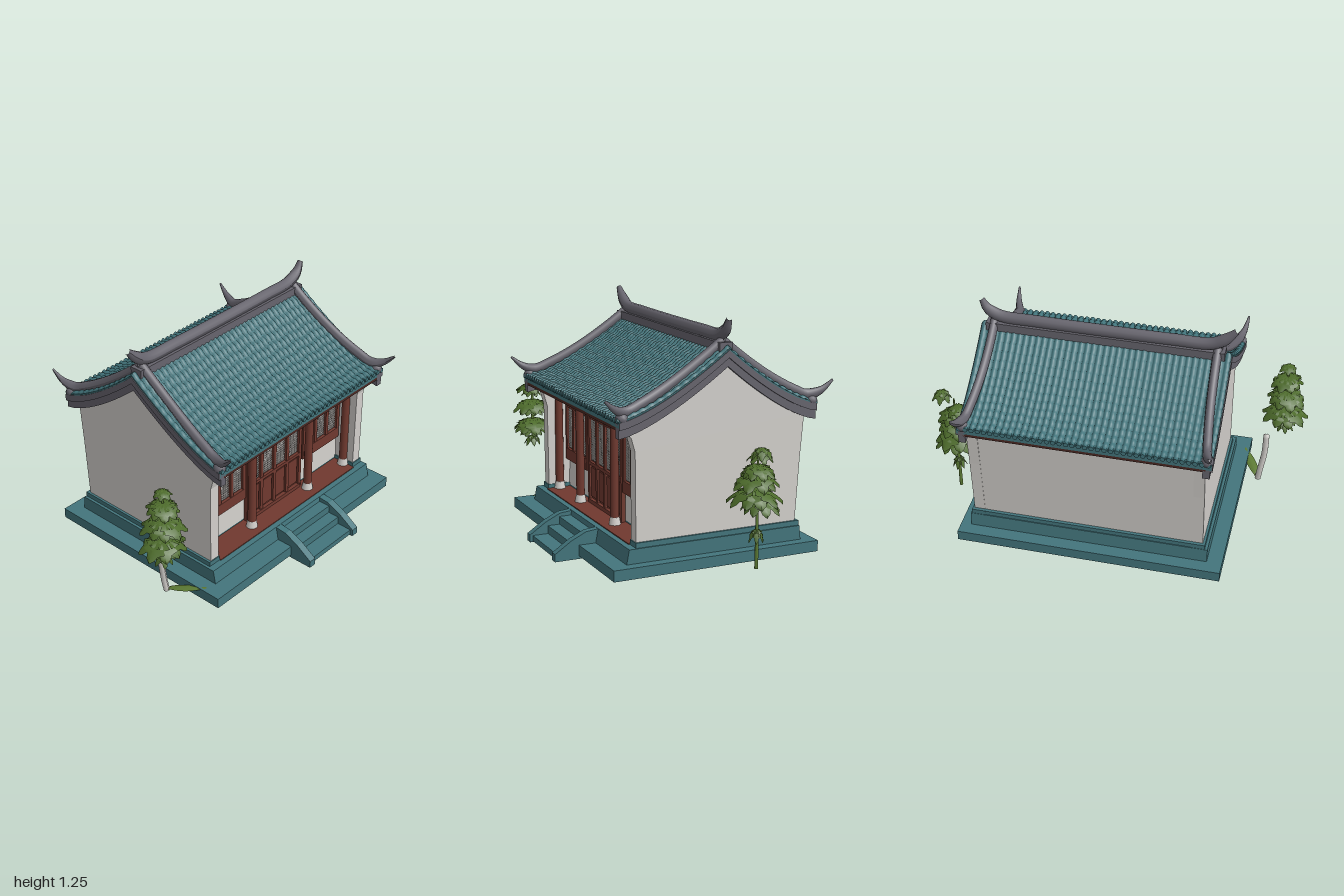
import * as THREE from 'three';
import { mergeGeometries } from 'three/addons/utils/BufferGeometryUtils.js';

const mat = (name, color, side = THREE.FrontSide) => {
  const m = new THREE.MeshStandardMaterial({ color, side });
  m.name = name;
  return m;
};

export function createModel() {
  const teal = mat('teal stone', 0x43757c, THREE.DoubleSide);
  const grey = mat('grey ridge tile', 0x66646d);
  const white = mat('white plaster', 0xd3d0cc);
  const wood = mat('red brown wood', 0x70392f);
  const darkWood = mat('dark wood', 0x4a2822);
  const pane = mat('dark lattice gap', 0x4a4644);
  const lattice = mat('pale lattice', 0xc2bfbb);
  const leafGreen = mat('leaf green', 0x4d6b2b, THREE.DoubleSide);
  const stemGreen = mat('stem green', 0x5c7a33, THREE.DoubleSide);

  const model = new THREE.Group();
  const add = (name, geo, material, parent = model) => {
    const m = new THREE.Mesh(geo, material);
    m.name = name;
    parent.add(m);
    return m;
  };
  // box given by its min and max on each axis
  const box = (x0, x1, y0, y1, z0, z1) =>
    new THREE.BoxGeometry(x1 - x0, y1 - y0, z1 - z0)
      .translate((x0 + x1) / 2, (y0 + y1) / 2, (z0 + z1) / 2);
  const extrudeZ = (pts, z0, z1) =>
    new THREE.ExtrudeGeometry(new THREE.Shape(pts.map(p => new THREE.Vector2(...p))),
      { depth: z1 - z0, bevelEnabled: false }).translate(0, 0, z0);
  const grid = (fn, nu, nv) => {
    const pos = [], idx = [];
    for (let j = 0; j <= nv; j++) for (let i = 0; i <= nu; i++) pos.push(...fn(i / nu, j / nv));
    for (let j = 0; j < nv; j++) for (let i = 0; i < nu; i++) {
      const a = j * (nu + 1) + i, b = a + nu + 1;
      idx.push(a, a + 1, b, b, a + 1, b + 1);
    }
    const g = new THREE.BufferGeometry();
    g.setAttribute('position', new THREE.Float32BufferAttribute(pos, 3));
    g.setIndex(idx);
    g.computeVertexNormals();
    return g;
  };
  // tube whose radius follows a rule, optionally stretched in height
  const taperTube = (pts, radius, segs = 40, tall = 1) => {
    const curve = new THREE.CatmullRomCurve3(pts.map(p => new THREE.Vector3(...p)));
    const g = new THREE.TubeGeometry(curve, segs, 1, 10);
    const p = g.attributes.position, v = new THREE.Vector3();
    for (let k = 0; k < p.count; k++) {
      const u = Math.floor(k / 11) / segs, c = curve.getPointAt(u);
      v.fromBufferAttribute(p, k).sub(c).multiplyScalar(radius(u));
      v.y *= tall;
      v.add(c);
      p.setXYZ(k, v.x, v.y, v.z);
    }
    g.computeVertexNormals();
    return g;
  };

  // concave roof curve, ridge line at x = RX
  const RX = -0.09, Z0 = -0.685, Z1 = 0.61;
  const reach = s => (s > 0 ? 0.58 : 0.5);
  const roofX = (s, t) => RX + s * reach(s) * t;
  const roofY = t => 0.785 + 0.305 * Math.pow(1 - t, 1.4);
  const roofLine = (off, tMax = 1, n = 12) => {
    const pts = [];
    for (let i = -n; i <= n; i++) {
      const t = Math.abs(i) / n * tMax;
      pts.push([roofX(Math.sign(i) || 1, t), roofY(t) + off]);
    }
    return pts;
  };
  const roofSlab = (lo, hi, z0, z1) =>
    extrudeZ([...roofLine(lo), ...roofLine(hi).reverse()], z0, z1);

  // base, plinth and skirting under the walls
  add('baseSlab', box(-0.59, 0.54, 0.015, 0.072, -0.73, 0.68), teal);
  add('plinth', extrudeZ([[-0.52, 0.07], [0.45, 0.07], [0.435, 0.146], [-0.512, 0.146]], -0.675, 0.6), teal);
  add('backSkirting', box(-0.508, 0.268, 0.14, 0.17, -0.665, 0.582), teal);
  for (const [z0, z1] of [[-0.668, -0.595], [0.51, 0.585]])
    add('gableSkirting', box(-0.51, 0.397, 0.14, 0.172, z0, z1), teal);
  add('porchFloor', box(0.26, 0.405, 0.14, 0.151, -0.595, 0.51), wood);

  // front steps with sloping side rails
  const rail = [[0.42, 0], [0.67, 0], [0.67, 0.04], [0.58, 0.1], [0.5, 0.138], [0.42, 0.146]];
  for (const z of [-0.29, 0.07]) add('stepRail', extrudeZ(rail, z, z + 0.04), teal);
  [[0.505, 0.12], [0.57, 0.078], [0.655, 0.035]].forEach(([x, y]) =>
    add('step', box(0.42, x, 0.005, y, -0.255, 0.075), teal));

  // plaster walls
  const body = [[-0.49, 0.16], [0.27, 0.16]];
  const top = roofLine(-0.055, 0.88).reverse();
  add('hall', extrudeZ([...body, ...top.filter(p => p[0] < 0.27), [-0.53, 0.73]], -0.6, 0.52), white);
  for (const [z0, z1] of [[-0.657, -0.6], [0.515, 0.572]])
    add('gableWall', extrudeZ([[-0.492, 0.16], [0.392, 0.16], [0.395, 0.62], [0.415, 0.69],
      [0.455, 0.735], ...top, [-0.535, 0.73], [-0.515, 0.5]], z0, z1), white);

  // porch columns on white feet, with beams
  for (const z of [0.495, 0.19, -0.27, -0.585]) {
    add('column', new THREE.CylinderGeometry(0.021, 0.023, 0.6, 16).translate(0.335, 0.45, z), wood);
    add('columnFoot', new THREE.CylinderGeometry(0.024, 0.032, 0.045, 16).translate(0.335, 0.168, z), white);
    add('crossBeam', box(0.26, 0.42, 0.695, 0.73, z - 0.017, z + 0.017), wood);
  }
  add('eaveBeam', box(0.31, 0.36, 0.733, 0.765, -0.6, 0.515), wood);
  add('lintel', box(0.265, 0.3, 0.665, 0.7, -0.6, 0.515), wood);

  // doors and windows: frames, mullions, lattices
  const pale = [];
  const leaves = (z0, z1, n, y0, door) => {
    const w = (z1 - z0) / n;
    add(door ? 'doorFrame' : 'windowFrame', box(0.265, 0.28, y0, 0.67, z0, z1), wood);
    for (let i = 0; i <= n; i++)
      add('mullion', box(0.27, 0.294, y0, 0.67, z0 + i * w - 0.011, z0 + i * w + 0.011), wood);
    for (let i = 0; i < n; i++) {
      const a = z0 + i * w + 0.017, b = z0 + (i + 1) * w - 0.017;
      add('latticeGap', box(0.279, 0.283, 0.385, 0.605, a, b), pane);
      for (let k = 0; k < 6; k++) {
        const z = a + (k + 0.5) * (b - a) / 6;
        pale.push(box(0.283, 0.286, 0.385, 0.605, z - 0.0022, z + 0.0022));
      }
      for (let k = 0; k < 16; k++) {
        const y = 0.385 + (k + 0.5) * 0.22 / 16;
        pale.push(box(0.283, 0.286, y - 0.0025, y + 0.0025, a, b));
      }
      if (door) add('doorPanel', box(0.279, 0.287, 0.185, 0.345, a, b), wood);
    }
    add('topRail', box(0.27, 0.291, 0.61, 0.625, z0, z1), wood);
    add('midRail', box(0.27, 0.296, door ? 0.36 : 0.315, 0.378, z0, z1), wood);
    if (door) add('threshold', box(0.27, 0.3, 0.15, 0.172, z0, z1), wood);
  };
  leaves(-0.25, 0.17, 4, 0.15, true);
  leaves(0.205, 0.49, 3, 0.315, false);
  leaves(-0.575, -0.285, 3, 0.315, false);
  add('lattice', mergeGeometries(pale), lattice);

  // roof deck, ceiling and ribbed tiles
  add('roofDeck', roofSlab(-0.035, 0, Z0, Z1), teal);
  add('ceiling', roofSlab(-0.05, -0.034, Z0 + 0.03, Z1 - 0.03), darkWood);
  const RIBS = 40, pitch = (Z1 - Z0) / RIBS;
  for (const s of [-1, 1]) {
    add('roofTiles', grid((u, v) => {
      const t = v * 1.01, rib = Math.abs(Math.sin(Math.PI * u * RIBS));
      const lap = Math.sin(v * Math.PI * 26 + 0.6 * Math.sin(u * 60));
      return [roofX(s, t), roofY(Math.min(t, 1)) + 0.014 * rib + 0.003 * lap, Z0 + u * (Z1 - Z0)];
    }, RIBS * 6, 52), teal);
    const ends = [];
    for (let i = 0; i < RIBS; i++)
      ends.push(new THREE.CylinderGeometry(0.013, 0.013, 0.02, 8).rotateZ(Math.PI / 2)
        .translate(roofX(s, 0.995), 0.783, Z0 + (i + 0.5) * pitch));
    add('eaveTileEnds', mergeGeometries(ends), teal);
    const e = roofX(s, 0.985);
    add('eaveFascia', box(e - 0.007, e + 0.007, 0.745, 0.79, Z0, Z1), teal);
  }

  // grey verge boards and curved hip ridges with upswept tips
  for (const d of [1, -1]) {
    const edge = d > 0 ? Z1 : Z0, span = (a, b) => [Math.min(a, b), Math.max(a, b)];
    add('vergeBoard', roofSlab(-0.09, -0.012, ...span(edge - d * 0.045, edge - d * 0.008)), grey);
    add('vergeMoulding', roofSlab(-0.045, -0.008, ...span(edge - d * 0.02, edge + d * 0.004)), grey);
    for (const s of [-1, 1]) {
      const pts = [];
      for (let i = 0; i <= 6; i++) {
        const t = i / 6 * 0.92;
        pts.push([roofX(s, t), roofY(t) + 0.026, edge - d * (0.07 - 0.045 * t * t)]);
      }
      const tip = s > 0 ? 0.565 : -0.68;
      pts.push([tip - s * 0.06, 0.84, edge - d * 0.012], [tip, 0.89, edge]);
      add('hipRidge', taperTube(pts, u => (u < 0.82 ? 0.023 : 0.023 - (u - 0.82) * 0.1), 40, 1.25), grey);
      add('ridgeFoot', new THREE.SphereGeometry(0.032, 12, 8)
        .translate(roofX(s, 0.96), 0.79, edge - d * 0.025), grey);
    }
  }

  // main ridge with raised ends
  add('ridgeBase', box(RX - 0.035, RX + 0.035, 1.07, 1.115, Z0 + 0.03, Z1 - 0.03), grey);
  add('mainRidge', taperTube([[RX, 1.235, Z0 + 0.005], [RX, 1.18, Z0 + 0.035], [RX, 1.145, Z0 + 0.1], [RX, 1.138, Z0 + 0.3],
    [RX, 1.138, Z1 - 0.3], [RX, 1.145, Z1 - 0.1], [RX, 1.18, Z1 - 0.035], [RX, 1.235, Z1 + 0.02]],
  u => Math.min(0.029, 0.014 + 0.25 * Math.min(u, 1 - u)), 60, 1.15), grey);

  // trees: tiers of drooping, saw-edged leaves
  const tier = (r, n, drop, spin) => {
    const list = [];
    for (let i = 0; i < n; i++) {
      const a = spin + i / n * Math.PI * 2, len = r * (0.9 + 0.1 * Math.sin(i * 5 + spin));
      list.push(grid((u, v) => {
        const side = u * 2 - 1, tooth = v < 1 && Math.round(v * 8) % 2 ? 1.3 : 0.85;
        const w = side * r * 0.42 * Math.sin(Math.PI * Math.min(1, 0.12 + v * 0.88)) * tooth;
        const d = v * len;
        const y = -drop * v * v - Math.abs(side) * r * 0.14 * v;
        return [Math.cos(a) * d - Math.sin(a) * w, y, Math.sin(a) * d + Math.cos(a) * w];
      }, 2, 8));
    }
    return mergeGeometries(list);
  };
  const tree = (name, x, z, y0, y1, tiers) => {
    const g = new THREE.Group();
    g.name = name;
    g.position.set(x, 0, z);
    add('stem', new THREE.CylinderGeometry(0.005, 0.01, y1 - y0, 8).translate(0, (y0 + y1) / 2, 0), stemGreen, g);
    tiers.forEach(([y, r, drop, dx = 0, dz = 0], i) =>
      add('leafTier', tier(r, r > 0.07 ? 9 : 6, drop, i * 0.7).translate(dx, y, dz), leafGreen, g));
    model.add(g);
  };
  tree('floatingTree', 0.355, 0.865, 0.36, 0.75, [[0.75, 0.055, 0.025], [0.68, 0.1, 0.04],
    [0.645, 0.06, 0.03], [0.585, 0.12, 0.055], [0.54, 0.08, 0.03], [0.475, 0.13, 0.06],
    [0.43, 0.08, 0.04], [0.375, 0.055, 0.05]]);
  tree('backTree', -0.165, -0.85, 0.02, 0.62, [[0.645, 0.06, 0.05, 0.02, -0.07], [0.595, 0.07, 0.04, -0.03, 0.03],
    [0.545, 0.1, 0.05], [0.5, 0.13, 0.06, 0, 0.01], [0.43, 0.14, 0.07, 0.01, 0.01],
    [0.39, 0.11, 0.07, -0.01, -0.01], [0.22, 0.045, 0.06]]);

  // leaning white post and the fallen leaf beside it
  add('whitePost', taperTube([[0.255, 0.025, 0.755], [0.248, 0.1, 0.765], [0.25, 0.22, 0.782], [0.252, 0.35, 0.785]],
    u => (u > 0.97 ? 0.006 : 0.017), 24), white);
  add('fallenLeaf', grid((u, v) => {
    const w = (u - 0.5) * 0.05 * Math.sin(Math.PI * (0.1 + 0.85 * v));
    return [0.25 + 0.19 * v + w * 0.4, 0.028 + 0.048 * Math.sqrt(v) - Math.abs(w) * 0.4, 0.755 - 0.1 * v + w];
  }, 4, 12), stemGreen);

  return model;
}
